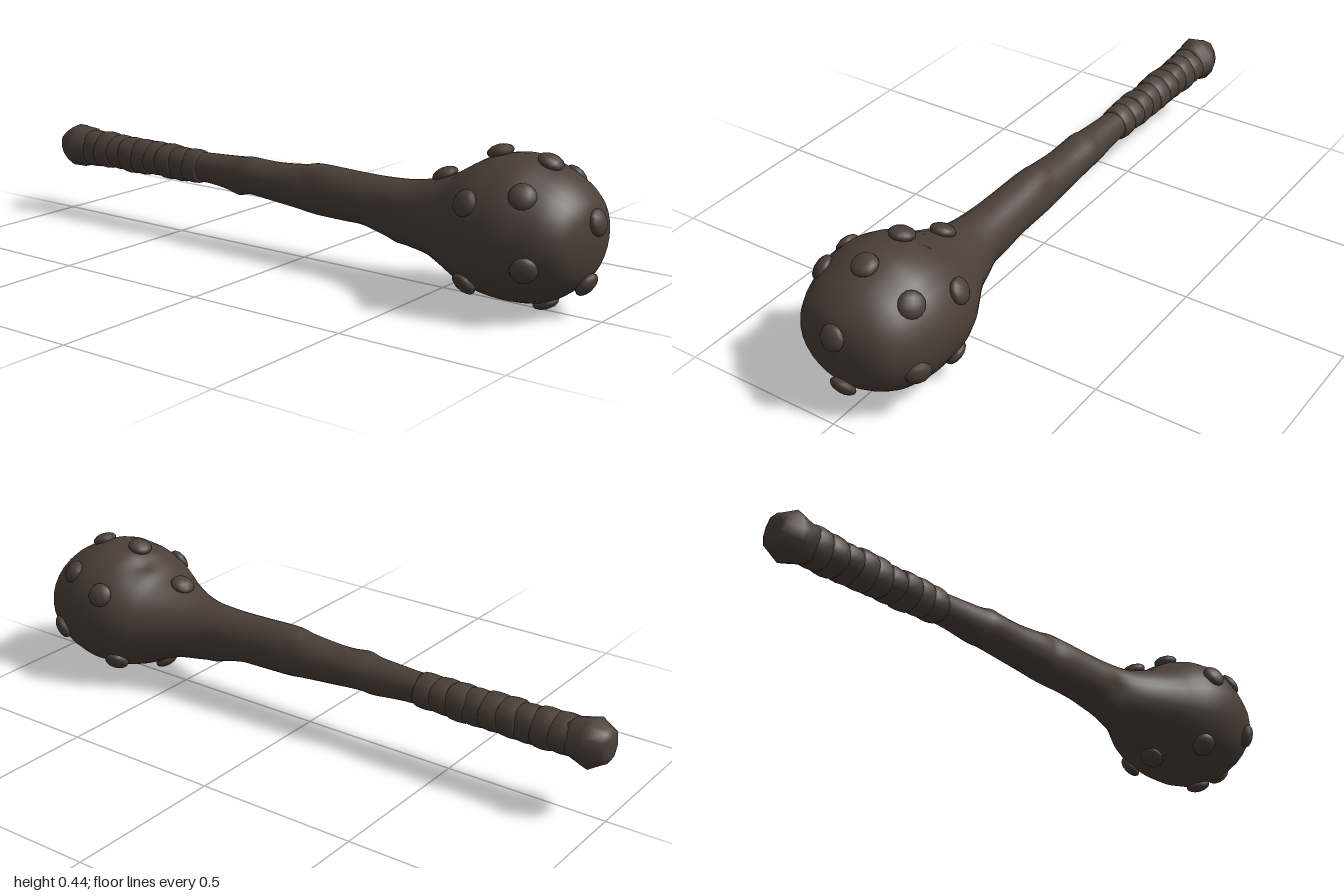
import * as THREE from 'three';

const wood = new THREE.MeshStandardMaterial({ color: 0x4b3f38 });
wood.name = 'dark wood';

// Skin rings along x. Each ring: [x, top y, bottom y, half depth]; dent(x, angle) moves the skin outward.
function loft(rings, sides, dent = () => 0) {
  const pos = [], index = [];
  for (const [x, top, bottom, rz] of rings) {
    for (let j = 0; j < sides; j++) {
      const a = (j / sides) * Math.PI * 2, d = dent(x, a);
      pos.push(x, (top + bottom) / 2 + ((top - bottom) / 2 + d) * Math.cos(a), (rz + d) * Math.sin(a));
    }
  }
  for (let i = 0; i < rings.length - 1; i++) {
    for (let j = 0; j < sides; j++) {
      const a = i * sides + j, b = i * sides + (j + 1) % sides;
      index.push(a, b, a + sides, b, b + sides, a + sides);
    }
  }
  // End caps
  const last = rings.length - 1;
  for (const i of [0, last]) {
    const [x, top, bottom] = rings[i], c = pos.length / 3;
    pos.push(x, (top + bottom) / 2, 0);
    for (let j = 0; j < sides; j++) {
      const a = i * sides + j, b = i * sides + (j + 1) % sides;
      if (i === 0) index.push(c, b, a); else index.push(c, a, b);
    }
  }
  const g = new THREE.BufferGeometry();
  g.setAttribute('position', new THREE.Float32BufferAttribute(pos, 3));
  g.setIndex(index);
  g.computeVertexNormals();
  return g;
}

// Smooth a short list of rings into a fine one
function refine(rings, count) {
  const outline = new THREE.CatmullRomCurve3(rings.map(r => new THREE.Vector3(r[0], r[1], r[2])), false, 'catmullrom');
  const depth = new THREE.CatmullRomCurve3(rings.map(r => new THREE.Vector3(r[3], 0, 0)), false, 'catmullrom');
  return Array.from({ length: count + 1 }, (_, i) => {
    const p = outline.getPoint(i / count);
    return [p.x, p.y, p.z, depth.getPoint(i / count).x];
  });
}

// Knots and hollows: [x, angle from the top towards the front, size, depth]
const knots = [
  [0.34, 1.85, 0.045, -0.014], [0.34, -1.9, 0.045, -0.01], [0.24, 3.1, 0.04, -0.008],
  [0.05, 1.2, 0.035, -0.007], [0.05, -1.2, 0.035, -0.007], [0.63, -0.25, 0.03, -0.016],
  [-0.24, 2.9, 0.03, 0.008], [-0.2, 0.3, 0.03, 0.006], [0.35, 3.1, 0.035, 0.008],
];
function knotDent(x, a) {
  let d = 0;
  for (const [kx, ka, size, depth] of knots) {
    const da = Math.atan2(Math.sin(a - ka), Math.cos(a - ka)) * (x > 0.5 ? 0.2 : 0.08);
    d += depth * Math.exp(-((x - kx) ** 2 + da * da) / (size * size));
  }
  return d;
}

export function createModel() {
  const club = new THREE.Group();
  club.name = 'club';
  const add = (name, geometry, parent = club) => {
    const mesh = new THREE.Mesh(geometry, wood);
    mesh.name = name;
    parent.add(mesh);
    return mesh;
  };

  // Shaft swelling into the heavy head
  add('shaftAndHead', loft(refine([
    [-0.45, 0.275, 0.185, 0.045], [-0.35, 0.28, 0.182, 0.046], [-0.25, 0.285, 0.172, 0.054],
    [-0.2, 0.288, 0.175, 0.06], [-0.1, 0.287, 0.166, 0.061], [0, 0.295, 0.157, 0.066],
    [0.06, 0.305, 0.15, 0.068], [0.2, 0.301, 0.146, 0.071], [0.3, 0.3, 0.132, 0.078],
    [0.4, 0.306, 0.112, 0.093], [0.48, 0.326, 0.1, 0.12], [0.55, 0.352, 0.075, 0.158],
    [0.6, 0.383, 0.052, 0.186], [0.65, 0.41, 0.034, 0.205], [0.71, 0.427, 0.024, 0.214],
    [0.78, 0.43, 0.022, 0.212], [0.85, 0.406, 0.036, 0.194], [0.9, 0.38, 0.065, 0.173],
    [0.94, 0.345, 0.1, 0.14], [0.965, 0.305, 0.145, 0.085], [0.978, 0.24, 0.21, 0.015],
  ], 110), 28, knotDent));

  // Grip: overlapping turns of wrapping, each slightly tapered and tilted
  const wraps = new THREE.Group();
  wraps.name = 'gripWraps';
  club.add(wraps);
  const turns = 9, width = 0.49 / turns;
  for (let i = 0; i < turns; i++) {
    const x = -0.89 + i * width, r = 0.06 - 0.006 * i / turns + 0.0015 * Math.sin(i * 2.3);
    const ring = (dx, s) => [x + dx, 0.23 + r * s, 0.23 - r * s, (r - 0.001) * s];
    add('gripWrap', loft([
      ring(-0.006, 0.88), ring(0.004, 0.97), ring(width * 0.5, 1), ring(width - 0.004, 0.96), ring(width + 0.004, 0.88),
    ], 20, (px, a) => 0.002 * Math.sin(a * 3 + i * 1.7)), wraps);
  }

  // Flared pommel
  add('pommel', loft([
    [-1, 0.262, 0.195, 0.035], [-0.99, 0.283, 0.178, 0.052], [-0.95, 0.302, 0.157, 0.07],
    [-0.93, 0.298, 0.161, 0.067], [-0.895, 0.293, 0.169, 0.06], [-0.88, 0.285, 0.175, 0.054],
  ], 12, (x, a) => 0.003 * Math.sin(a * 4 + x * 60)));

  // Rounded studs over the head: [x, y, z], mirrored front to back when z is not 0
  const studs = new THREE.Group();
  studs.name = 'studs';
  club.add(studs);
  const dome = new THREE.SphereGeometry(1, 12, 8).scale(0.038, 0.038, 0.02);
  const spots = [
    [0.5, 0.338, 0], [0.675, 0.427, 0], [0.83, 0.418, 0], [0.975, 0.275, 0],
    [0.95, 0.1, 0], [0.83, 0.028, 0], [0.58, 0.058, 0],
    [0.68, 0.32, 0.189], [0.83, 0.352, 0.148], [0.86, 0.165, 0.183], [0.66, 0.085, 0.15],
  ];
  for (const [x, y, z] of spots) {
    for (const side of z ? [1, -1] : [1]) {
      const stud = add('stud', dome, studs);
      stud.position.set(x, y, z * side);
      // Face away from the middle of the head
      const out = new THREE.Vector3((x - 0.74) * 0.85, y - 0.226, z * side).normalize();
      if (x < 0.55) out.set(-0.42, 0.9, 0).normalize();
      stud.quaternion.setFromUnitVectors(new THREE.Vector3(0, 0, 1), out);
    }
  }
  return club;
}
